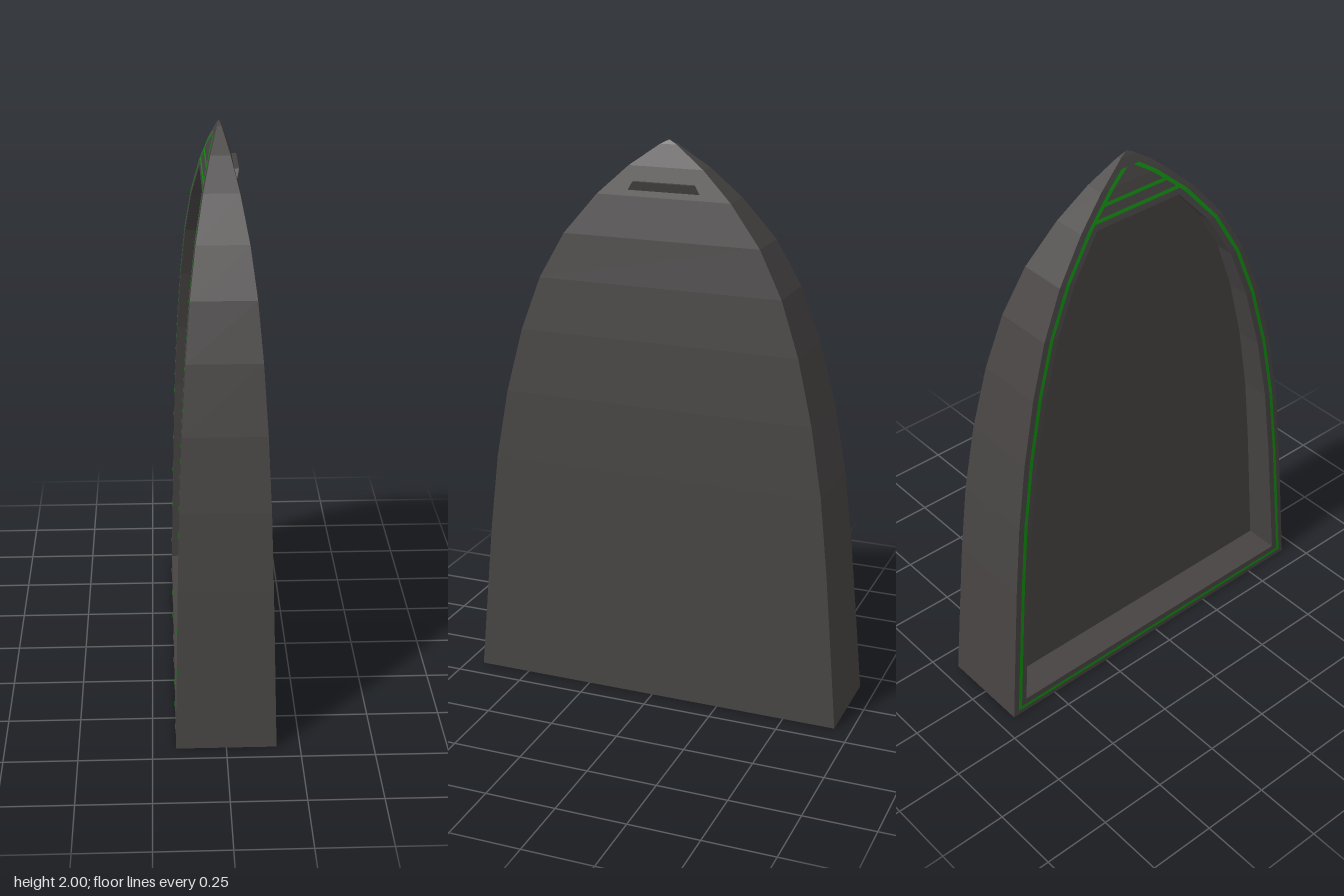
import * as THREE from 'three';

// Half depth of the pod (z) at each height; the half width (x) is proportional to it
const PROFILE = [[0, 0.69], [0.3, 0.664], [0.57, 0.64], [0.84, 0.61], [1.09, 0.567], [1.32, 0.51],
  [1.51, 0.443], [1.67, 0.357], [1.81, 0.243], [1.91, 0.135], [1.985, 0.03], [2, 0]];
const RATIO = 0.247, RIM = 0.055, FLOOR = 0.055, TOP = 1.8, PANEL_X = -0.045;

function halfDepth(y) {
  if (y <= 0) return 0.69 - y * 0.088;
  if (y >= 2) return 0;
  const i = PROFILE.findIndex((p) => p[0] >= y);
  const [y0, w0] = PROFILE[i - 1], [y1, w1] = PROFILE[i];
  return w0 + (w1 - w0) * (y - y0) / (y1 - y0);
}
const halfWidth = (y) => RATIO * halfDepth(y);

// Outline moved inwards by a distance measured across the edge
function inset(y, d) {
  const slope = (halfDepth(y + 0.05) - halfDepth(y - 0.05)) / 0.1;
  return Math.max(0, halfDepth(y) - d * Math.hypot(1, slope));
}

// Heights between two limits, following the facets of the profile
const levels = (a, b) => [a, ...PROFILE.map((p) => p[0]).filter((y) => y > a + 1e-4 && y < b - 1e-4), b];

function quadMesh(name, material, quads) {
  const pos = [];
  for (const [a, b, c, d] of quads) pos.push(...a, ...b, ...c, ...a, ...c, ...d);
  const geo = new THREE.BufferGeometry();
  geo.setAttribute('position', new THREE.Float32BufferAttribute(pos, 3));
  geo.computeVertexNormals();
  const mesh = new THREE.Mesh(geo, material);
  mesh.name = name;
  return mesh;
}

// Rows of quads between two edges, each edge a function of height
function rows(ys, left, right) {
  return ys.slice(1).map((y, i) => [left(ys[i]), right(ys[i]), right(y), left(y)]);
}

export function createModel() {
  const group = new THREE.Group();
  const dark = new THREE.MeshStandardMaterial({ color: 0x474343, flatShading: true, side: THREE.DoubleSide });
  const green = new THREE.MeshStandardMaterial({ color: 0x128a12, flatShading: true, side: THREE.DoubleSide });

  const corner = (sx, sz) => (y) => [sx * halfWidth(y), y, sz * halfDepth(y)];
  const all = levels(0, 2);

  // Three closed sides and the base
  group.add(quadMesh('shell', dark, [
    ...rows(all, corner(1, 1), corner(1, -1)),
    ...rows(all, corner(-1, 1), corner(1, 1)),
    ...rows(all, corner(1, -1), corner(-1, -1)),
    [corner(-1, -1)(0), corner(1, -1)(0), corner(1, 1)(0), corner(-1, 1)(0)],
  ]));

  // Rim around the open side
  const rimEdge = (s) => (y) => [-halfWidth(y), y, s * inset(y, RIM)];
  const panelEdge = (s) => (y) => [PANEL_X, y, s * inset(y, RIM)];
  const open = levels(FLOOR, TOP);
  group.add(quadMesh('rim', dark, [
    ...rows(levels(0, FLOOR), corner(-1, -1), corner(-1, 1)),
    ...rows(open, corner(-1, -1), rimEdge(-1)),
    ...rows(open, rimEdge(1), corner(-1, 1)),
    ...rows(levels(TOP, 2), corner(-1, -1), corner(-1, 1)),
  ]));

  // Recess walls, ledge, ceiling and flat back panel
  const across = (y, flip) => {
    const q = [rimEdge(-1)(y), rimEdge(1)(y), panelEdge(1)(y), panelEdge(-1)(y)];
    return flip ? q.reverse() : q;
  };
  group.add(quadMesh('recess', dark, [
    ...rows(open, rimEdge(-1), panelEdge(-1)),
    ...rows(open, panelEdge(1), rimEdge(1)),
    across(FLOOR, false),
    across(TOP, true),
  ]));
  group.add(quadMesh('backPanel', dark, rows(open, panelEdge(-1), panelEdge(1))));

  // Green trim line running round the rim, with cross lines under the tip
  const trimPoint = (s, d) => (y) => [-halfWidth(y) - 0.002, y, s * inset(y, d)];
  const trimYs = levels(0.02, 1.955);
  const crossLine = (a, b) => rows(levels(a, b), trimPoint(-1, 0.03), trimPoint(1, 0.03));
  group.add(quadMesh('trim', green, [
    ...rows(trimYs, trimPoint(-1, 0.02), trimPoint(-1, 0.034)),
    ...rows(trimYs, trimPoint(1, 0.034), trimPoint(1, 0.02)),
    ...crossLine(0.02, 0.034),
    ...crossLine(1.822, 1.834),
    ...crossLine(1.864, 1.876),
  ]));

  // Small ledge passing through the shell below the tip
  const ledgePoint = (x, y, z) => [x, y, z];
  const ring = (x0, x1) => [
    ledgePoint(x0, 1.83, 0.13), ledgePoint(x0, 1.83, -0.13),
    ledgePoint(x1, 1.86, -0.11), ledgePoint(x1, 1.86, 0.11),
  ];
  const outer = ring(0.055, 0.063), inner = ring(-0.03, -0.03);
  group.add(quadMesh('ledge', dark, [
    outer,
    ...outer.map((p, i) => [p, inner[i], inner[(i + 1) % 4], outer[(i + 1) % 4]]),
  ]));
  return group;
}
